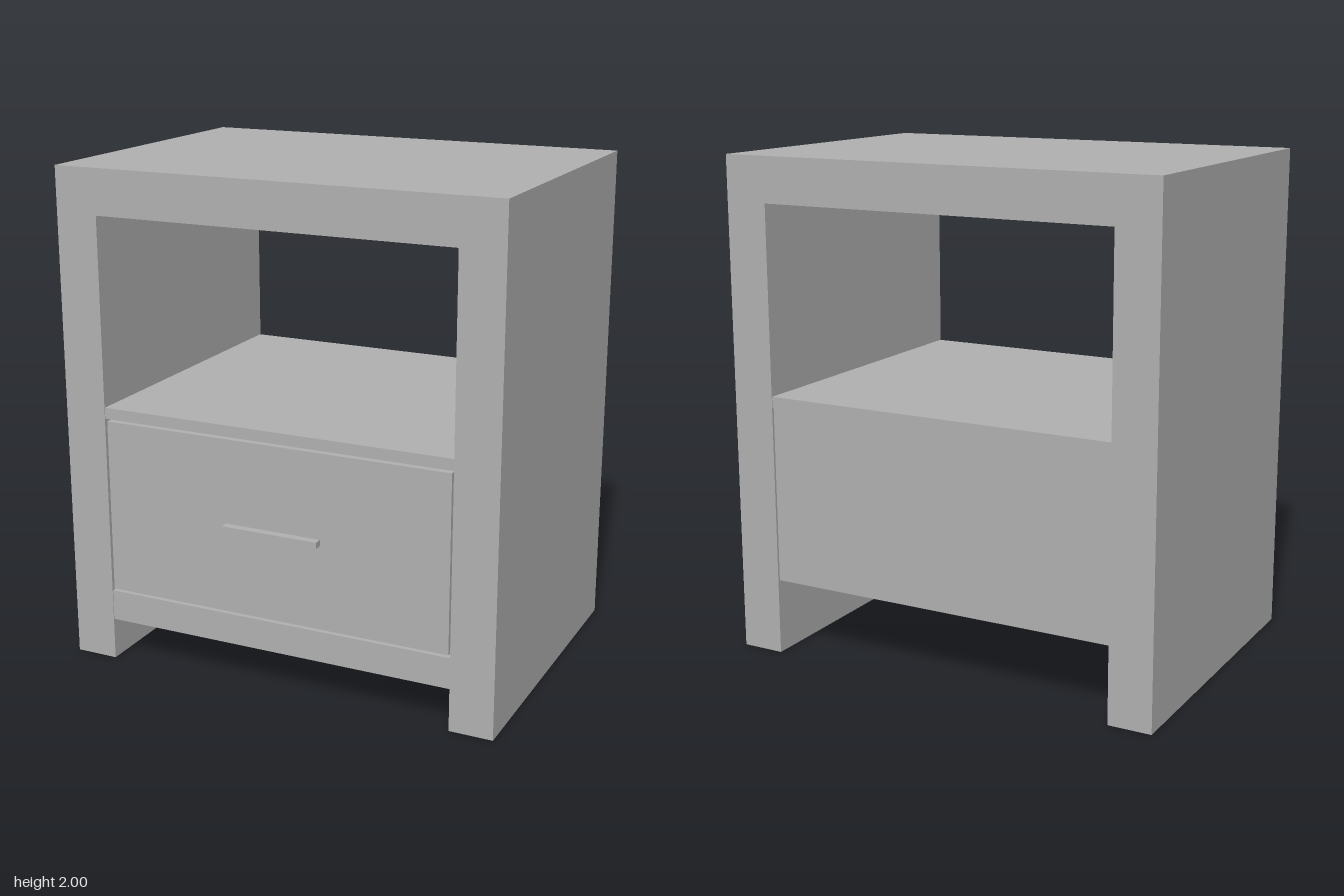
import * as THREE from 'three';

export function createModel() {
  const group = new THREE.Group();
  const grey = new THREE.MeshStandardMaterial({ color: 0xb0b0b0 });
  grey.name = 'grey';

  const add = (name, geometry) => {
    const mesh = new THREE.Mesh(geometry, grey);
    mesh.name = name;
    group.add(mesh);
  };
  // Box given by its lower and upper limits, symmetric about x = 0
  const box = (name, halfWidth, y0, y1, z0, z1) => {
    const g = new THREE.BoxGeometry(halfWidth * 2, y1 - y0, z1 - z0);
    g.translate(0, (y0 + y1) / 2, (z0 + z1) / 2);
    add(name, g);
  };

  // Outer frame: two thick sides joined by the top
  const outer = 0.905, inner = 0.73, back = -0.66, front = 0.63;
  const outline = [
    [-outer, 0], [-inner, 0], [-inner, 1.82], [inner, 1.82],
    [inner, 0], [outer, 0], [outer, 2], [-outer, 2],
  ].map(([x, y]) => new THREE.Vector2(x, y));
  const frame = new THREE.ExtrudeGeometry(new THREE.Shape(outline), { depth: front - back, bevelEnabled: false });
  frame.translate(0, 0, back);
  add('frame', frame);

  // Open shelf above the drawer
  box('shelf', inner, 1.02, 1.065, back + 0.003, front - 0.003);

  // Drawer housing, with the drawer front set in by a narrow gap
  box('drawerHousing', inner, 0.305, 1.02, back + 0.01, 0.58);
  box('drawerFront', 0.722, 0.305, 1.01, 0.58, front - 0.003);

  // Rail below the drawer and the slim bar handle
  box('bottomRail', inner, 0.17, 0.295, 0.585, front - 0.003);
  box('handle', 0.2, 0.645, 0.67, front - 0.003, 0.66);

  return group;
}
